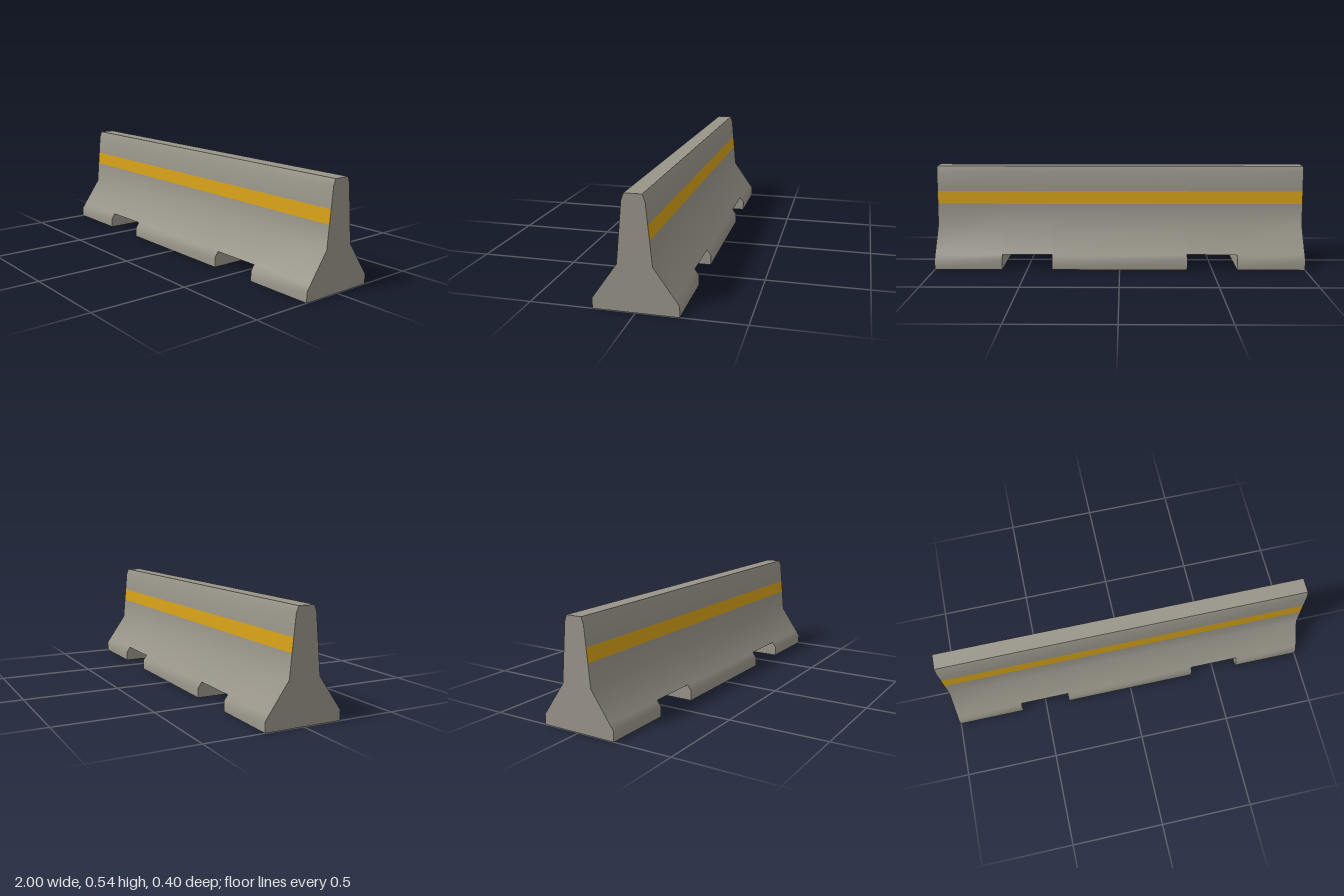
import * as THREE from 'three';
import { toCreasedNormals } from 'three/addons/utils/BufferGeometryUtils.js';

// Half profile from ground to top: [height, half depth]
const PROFILE = [
  [0, 0.2], [0.051, 0.2], [0.08, 0.18], [0.221, 0.081],
  [0.337, 0.07], [0.407, 0.063], [0.511, 0.053], [0.542, 0.041],
];
const COLUMNS = [-1, -0.635, -0.365, 0.365, 0.635, 1]; // odd columns are the lifting slots
const SLOT_ROW = 2;   // profile row of the slot ceiling
const STRIPE_ROW = 4; // profile row where the stripe starts
const TOP = PROFILE.length - 1;

// Collects counter-clockwise quads and turns them into a mesh
function quadMesh(name, color, fill) {
  const positions = [];
  fill((a, b, c, d) => positions.push(...a, ...b, ...c, ...a, ...c, ...d));
  const geometry = new THREE.BufferGeometry();
  geometry.setAttribute('position', new THREE.Float32BufferAttribute(positions, 3));
  const mesh = new THREE.Mesh(
    toCreasedNormals(geometry, 0.9),
    new THREE.MeshStandardMaterial({ color }),
  );
  mesh.name = name;
  return mesh;
}

// One sloping panel; side is 1 for the front, -1 for the back
function sidePanel(quad, row, xa, xb, side) {
  const [y0, z0] = PROFILE[row];
  const [y1, z1] = PROFILE[row + 1];
  const [l, r] = side > 0 ? [xa, xb] : [xb, xa];
  quad([l, y0, z0 * side], [r, y0, z0 * side], [r, y1, z1 * side], [l, y1, z1 * side]);
}

// Vertical cross-section up to a profile row; dir is the x direction it faces
function endWall(quad, x, dir, lastRow) {
  for (let row = 0; row < lastRow; row++) {
    const [y0, z0] = PROFILE[row];
    const [y1, z1] = PROFILE[row + 1];
    quad([x, y0, z0 * dir], [x, y0, -z0 * dir], [x, y1, -z1 * dir], [x, y1, z1 * dir]);
  }
}

// Horizontal panel at a profile row; dir is the y direction it faces
function levelPanel(quad, row, xa, xb, dir) {
  const [y, depth] = PROFILE[row];
  const z = depth * dir;
  quad([xa, y, z], [xb, y, z], [xb, y, -z], [xa, y, -z]);
}

export function createModel() {
  const group = new THREE.Group();
  group.name = 'roadBarrier';

  // Concrete body with two slots running through the base
  group.add(quadMesh('concreteBody', 0x989489, (quad) => {
    for (let col = 0; col < COLUMNS.length - 1; col++) {
      const xa = COLUMNS[col];
      const xb = COLUMNS[col + 1];
      const bottomRow = col % 2 ? SLOT_ROW : 0;
      for (let row = bottomRow; row < TOP; row++) {
        if (row === STRIPE_ROW) continue;
        for (const side of [1, -1]) sidePanel(quad, row, xa, xb, side);
      }
      levelPanel(quad, TOP, xa, xb, 1);
      levelPanel(quad, bottomRow, xa, xb, -1);
      // Each foot is closed by an outer end or a slot wall
      if (bottomRow === 0) {
        endWall(quad, xa, -1, col === 0 ? TOP : SLOT_ROW);
        endWall(quad, xb, 1, col === COLUMNS.length - 2 ? TOP : SLOT_ROW);
      }
    }
  }));

  // Painted stripe, flush with the front and back
  for (const [name, side] of [['frontStripe', 1], ['backStripe', -1]]) {
    group.add(quadMesh(name, 0xd4a017, (quad) => sidePanel(quad, STRIPE_ROW, -1, 1, side)));
  }
  return group;
}
